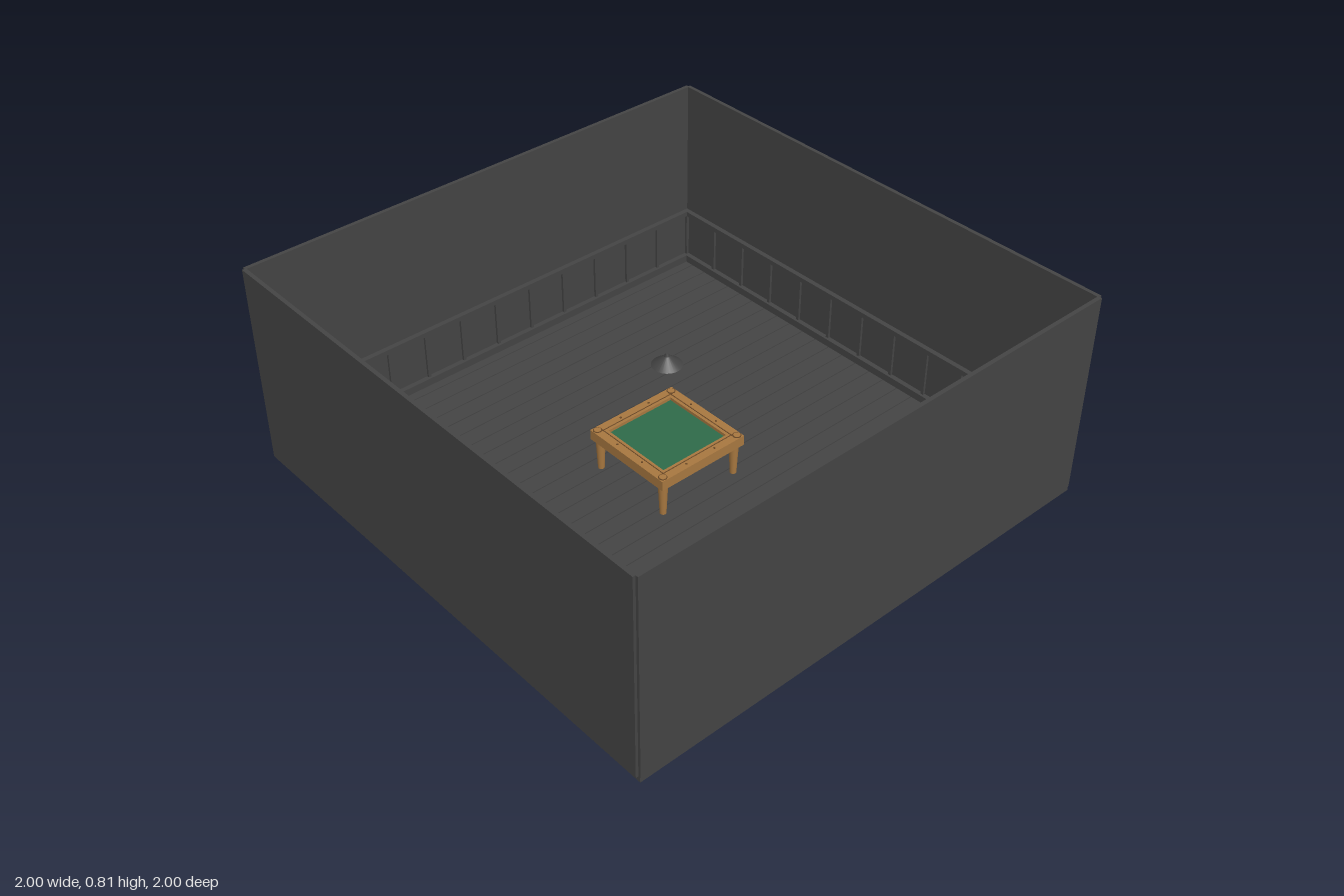
import * as THREE from 'three';

const mat = (name, color) => {
  const m = new THREE.MeshStandardMaterial({ color });
  m.name = name;
  return m;
};

export function createModel() {
  const charcoal = mat('charcoal', 0x444444);
  const felt = mat('green felt', 0x2f6b4a);
  const wood = mat('light wood', 0xa87840);
  const darkWood = mat('dark wood', 0x6a4826);

  const room = new THREE.Group();
  room.name = 'room';
  const add = (parent, name, geo, material, x = 0, y = 0, z = 0) => {
    const m = new THREE.Mesh(geo, material);
    m.name = name;
    m.position.set(x, y, z);
    parent.add(m);
    return m;
  };
  const box = (parent, name, material, w, h, d, x, y, z) =>
    add(parent, name, new THREE.BoxGeometry(w, h, d), material, x, y, z);

  // Floor of long boards with narrow open gaps
  const boards = 28, pitch = 2 / boards;
  for (let i = 0; i < boards; i++) {
    box(room, 'floorBoard', charcoal, pitch - 0.004, 0.02, 1.98, -1 + (i + 0.5) * pitch, 0.01, 0);
  }

  // Four walls, each with skirting, dado rail and upright battens
  const panels = 12, span = 1.96;
  for (let s = 0; s < 4; s++) {
    const side = new THREE.Group();
    side.name = 'wallSide';
    side.rotation.y = s * Math.PI / 2;
    box(side, 'wall', charcoal, 1.98, 0.79, 0.015, 0, 0.415, 0.9925);
    box(side, 'skirting', charcoal, 1.97, 0.03, 0.02, 0, 0.035, 0.975);
    box(side, 'dadoRail', charcoal, 1.97, 0.02, 0.02, 0, 0.25, 0.975);
    for (let i = 0; i <= panels; i++) {
      box(side, 'batten', charcoal, 0.012, 0.19, 0.01, -span / 2 + i * span / panels, 0.145, 0.98);
    }
    room.add(side);
  }

  // Square games table
  const table = new THREE.Group();
  table.name = 'table';
  box(table, 'bed', wood, 0.33, 0.03, 0.33, 0, 0.15, 0);
  box(table, 'playingSurface', felt, 0.3, 0.008, 0.3, 0, 0.169, 0);
  for (let s = 0; s < 4; s++) {
    const edge = new THREE.Group();
    edge.name = 'tableSide';
    edge.rotation.y = s * Math.PI / 2;
    box(edge, 'rail', wood, 0.335, 0.04, 0.045, -0.0225, 0.165, 0.1675);
    box(edge, 'railGroove', darkWood, 0.335, 0.002, 0.003, 0, 0.1855, 0.158);
    for (const x of [-0.065, 0.065]) {
      add(edge, 'sight', new THREE.CylinderGeometry(0.004, 0.004, 0.002, 8), darkWood, x, 0.186, 0.172);
    }
    // Corner leg with a round cap showing on the rail
    add(edge, 'cornerRing', new THREE.CylinderGeometry(0.016, 0.016, 0.003, 16), darkWood, 0.172, 0.1855, 0.172);
    add(edge, 'cornerCap', new THREE.CylinderGeometry(0.013, 0.013, 0.005, 16), wood, 0.172, 0.1855, 0.172);
    box(edge, 'cornerBlock', wood, 0.045, 0.04, 0.045, 0.1675, 0.165, 0.1675);
    add(edge, 'leg', new THREE.CylinderGeometry(0.018, 0.012, 0.125, 16), wood, 0.165, 0.0825, 0.165);
    table.add(edge);
  }
  room.add(table);

  // Hanging lamp: open conical shade with a small cap
  const lamp = new THREE.Group();
  lamp.name = 'lamp';
  const shade = charcoal.clone();
  shade.side = THREE.DoubleSide;
  shade.name = 'lamp shade charcoal';
  add(lamp, 'shade', new THREE.CylinderGeometry(0.01, 0.055, 0.035, 24, 1, true), shade, 0, 0.4975, 0);
  add(lamp, 'cap', new THREE.CylinderGeometry(0.006, 0.01, 0.012, 12), charcoal, 0, 0.519, 0);
  room.add(lamp);

  return room;
}
